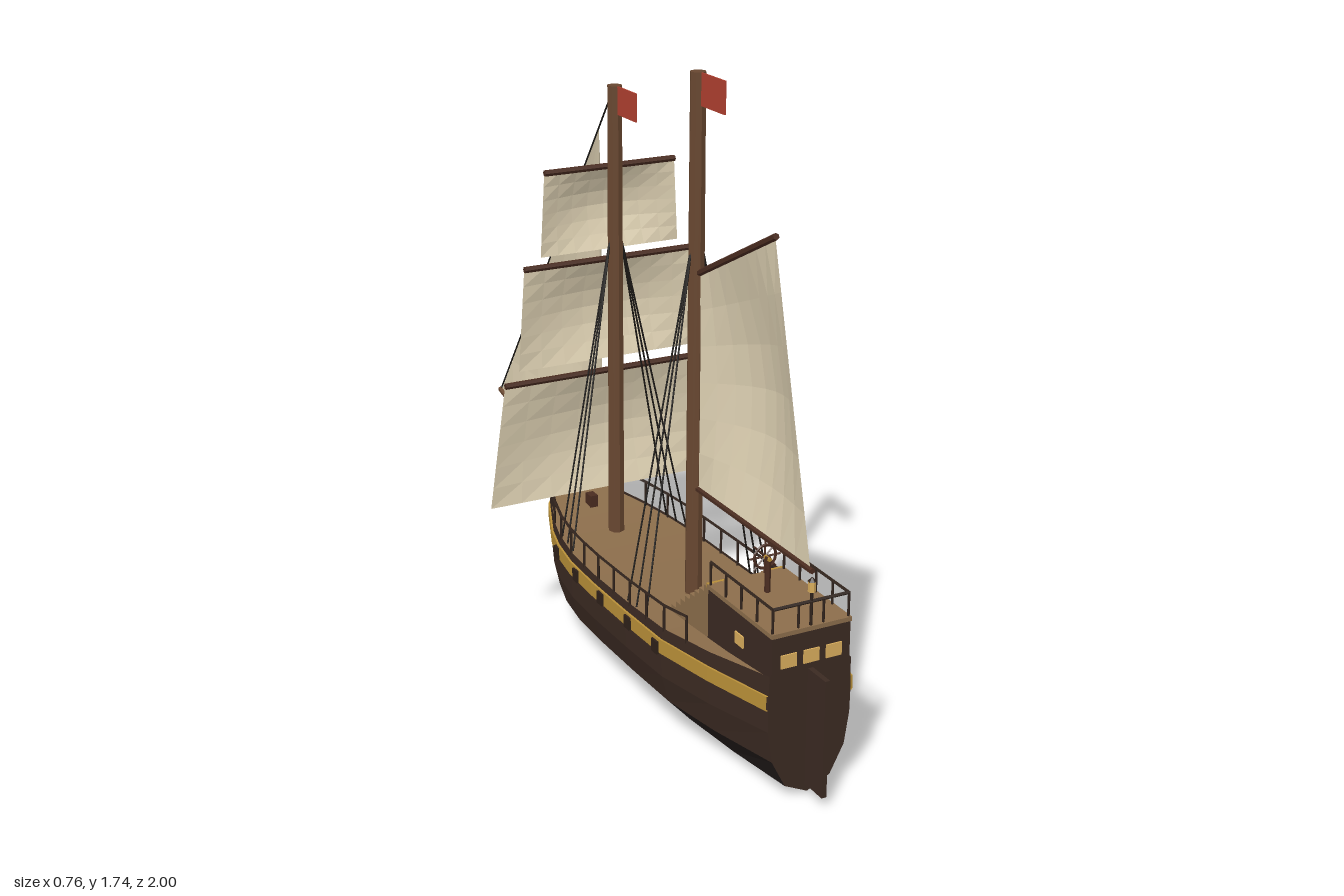
import * as THREE from 'three';

const V = (x, y, z) => new THREE.Vector3(x, y, z);
const mat = (color) => new THREE.MeshStandardMaterial({ color, flatShading: true, side: THREE.DoubleSide });
const M = {
  hull: mat(0x3b2a22), keel: mat(0x231c1b), deck: mat(0x8b6d4b), mast: mat(0x684730), spar: mat(0x4a2c20),
  gold: mat(0xb88f38), window: mat(0xd9ad5c), sail: mat(0xddd0b2), flag: mat(0xb04030), rope: mat(0x191613), rail: mat(0x2e211a),
};

// Hull stations, stern to bow: z, half width, keel height, sheer height
const STATIONS = [
  [0.92, 0.12, 0.005, 0.355], [0.7, 0.165, 0, 0.332], [0.5, 0.197, 0, 0.318], [0.3, 0.2, 0, 0.309], [0.1, 0.2, 0, 0.305],
  [-0.05, 0.195, 0, 0.306], [-0.17, 0.178, 0.003, 0.311], [-0.26, 0.155, 0.02, 0.318], [-0.435, 0.085, 0.053, 0.34], [-0.53, 0.002, 0.07, 0.355],
];
// Half section: fraction of width, fraction of height
const SECTION = [[0, 0], [0.55, 0.09], [0.88, 0.31], [0.99, 0.56], [1, 0.75], [0.98, 1]];

function hullAt(z) {
  let i = 0;
  while (i < STATIONS.length - 2 && z < STATIONS[i + 1][0]) i++;
  const a = STATIONS[i], b = STATIONS[i + 1], t = (z - a[0]) / (b[0] - a[0]);
  return { w: a[1] + (b[1] - a[1]) * t, top: a[3] + (b[3] - a[3]) * t };
}

// Surface through rows of points
function loft(rows) {
  const pos = [], idx = [], n = rows[0].length;
  rows.forEach((r) => r.forEach((p) => pos.push(p.x, p.y, p.z)));
  for (let i = 0; i < rows.length - 1; i++) {
    for (let j = 0; j < n - 1; j++) {
      const a = i * n + j, b = a + n;
      idx.push(a, b, a + 1, a + 1, b, b + 1);
    }
  }
  const g = new THREE.BufferGeometry();
  g.setAttribute('position', new THREE.Float32BufferAttribute(pos, 3));
  g.setIndex(idx);
  g.computeVertexNormals();
  return g;
}

export function createModel() {
  const ship = new THREE.Group();
  ship.name = 'sailingShip';
  const add = (name, geo, material) => {
    const m = new THREE.Mesh(geo, material);
    m.name = name;
    ship.add(m);
    return m;
  };
  const box = (name, w, h, d, x, y, z, material) => {
    const m = add(name, new THREE.BoxGeometry(w, h, d), material);
    m.position.set(x, y, z);
    return m;
  };
  const rod = (name, a, b, r, material, sides = 6, rTop = r) => {
    const d = b.clone().sub(a);
    const m = add(name, new THREE.CylinderGeometry(rTop, r, d.length(), sides), material);
    m.position.copy(a).lerp(b, 0.5);
    m.quaternion.setFromUnitVectors(V(0, 1, 0), d.normalize());
    return m;
  };

  // Hull sides, gold stripe and gun ports
  for (const s of [1, -1]) {
    const band = (from, to) => loft(STATIONS.map(([z, w, k, t]) =>
      SECTION.slice(from, to).map(([fx, fy]) => V(s * w * fx, k + (t - k) * fy, z))));
    add('lowerHull', band(0, 3), M.keel);
    add('upperHull', band(2, 6), M.hull);
    add('hullStripe', loft(STATIONS.map(([z, w, , t]) => {
      const y = 0.262 + (t - 0.305) * 0.4;
      return [[0, -0.02], [0.006, -0.02], [0.006, 0.02], [0, 0.02]].map(([o, dy]) => V(s * (w * 0.995 + o), y + dy, z));
    })), M.gold);
    for (const z of [0.48, 0.325, 0.16, -0.005, -0.17]) {
      box('gunPort', 0.02, 0.036, 0.03, s * (hullAt(z).w + 0.001), 0.26, z, M.rail);
    }
  }
  const [zs, ws, ks, ts] = STATIONS[0];
  const half = SECTION.map(([fx, fy]) => new THREE.Vector2(ws * fx, ks + (ts - ks) * fy));
  const mirrored = half.slice(1).reverse().map((p) => new THREE.Vector2(-p.x, p.y));
  add('transom', new THREE.ShapeGeometry(new THREE.Shape([...half, ...mirrored])), M.hull).position.z = zs;
  add('deck', loft(STATIONS.map(([z, w, , t]) => [V(-w * 0.98, t - 0.008, z), V(w * 0.98, t - 0.008, z)])), M.deck);
  box('rudder', 0.014, 0.325, 0.08, 0, 0.19, 0.96, M.hull);

  // Deck railings along the sheer
  for (const s of [1, -1]) {
    const at = (z, h) => V(s * hullAt(z).w * 0.97, hullAt(z).top + h, z);
    let prev = null;
    for (let i = 0; i <= 11; i++) {
      const z = 0.6 - i * 0.0955, top = at(z, 0.066);
      rod('railPost', at(z, -0.01), top, 0.004, M.rail, 4);
      if (prev) rod('handrail', prev, top, 0.005, M.rail, 4);
      prev = top;
    }
  }

  // Stern cabin with windows and door
  box('cabin', 0.226, 0.16, 0.32, 0, 0.38, 0.76, M.hull);
  box('cabinRoof', 0.23, 0.012, 0.325, 0, 0.462, 0.76, M.deck);
  box('cabinDoor', 0.07, 0.11, 0.008, 0, 0.365, 0.598, M.rail);
  for (const x of [-0.065, 0, 0.065]) box('sternWindow', 0.045, 0.036, 0.008, x, 0.388, 0.92, M.window);
  for (const s of [1, -1]) {
    box('sideWindow', 0.008, 0.032, 0.04, s * 0.113, 0.386, 0.765, M.window);
    box('stairLanding', 0.055, 0.012, 0.012, s * 0.085, 0.462, 0.595, M.gold);
    // Stairs from the main deck to the cabin roof
    for (let i = 0; i < 8; i++) {
      const h = 0.152 * (i + 1) / 8;
      box('stairStep', 0.054, h, 0.025, s * 0.085, 0.306 + h / 2, 0.412 + i * 0.025, M.deck);
    }
    // Cabin roof railing
    const zRail = [0.605, 0.684, 0.762, 0.84, 0.915];
    for (const z of zRail) rod('roofRailPost', V(s * 0.109, 0.465, z), V(s * 0.109, 0.532, z), 0.004, M.rail, 4);
    rod('roofHandrail', V(s * 0.109, 0.532, 0.605), V(s * 0.109, 0.532, 0.915), 0.005, M.rail, 4);
  }
  rod('sternHandrail', V(-0.109, 0.532, 0.915), V(0.109, 0.532, 0.915), 0.005, M.rail, 4);
  for (const x of [-0.036, 0.036]) rod('sternRailPost', V(x, 0.465, 0.915), V(x, 0.532, 0.915), 0.004, M.rail, 4);

  // Stern lantern
  rod('lanternPole', V(0, 0.465, 0.915), V(0, 0.56, 0.915), 0.004, M.rail);
  rod('lantern', V(0, 0.558, 0.915), V(0, 0.586, 0.915), 0.01, M.window);
  rod('lanternCap', V(0, 0.586, 0.915), V(0, 0.596, 0.915), 0.012, M.rail, 6, 0.002);

  // Steering wheel
  rod('wheelStand', V(0, 0.465, 0.705), V(0, 0.565, 0.705), 0.008, M.spar);
  rod('wheelAxle', V(0, 0.56, 0.685), V(0, 0.56, 0.715), 0.006, M.gold);
  add('wheelRim', new THREE.TorusGeometry(0.032, 0.004, 5, 16), M.spar).position.set(0, 0.56, 0.69);
  for (let i = 0; i < 4; i++) {
    const a = i * Math.PI / 4, c = 0.045 * Math.cos(a), d = 0.045 * Math.sin(a);
    rod('wheelSpoke', V(-c, 0.56 - d, 0.69), V(c, 0.56 + d, 0.69), 0.003, M.spar, 4);
  }

  // Masts, flags and shrouds
  const masts = [
    { name: 'main', z: 0.315, top: 1.735, flag: [0.13, 0.085], hitch: 1.3, feet: [0.295, 0.345, 0.4] },
    { name: 'fore', z: -0.155, top: 1.615, flag: [0.12, 0.078], hitch: 1.21, feet: [-0.165, -0.115, -0.065] },
  ];
  for (const m of masts) {
    rod(m.name + 'Mast', V(0, 0.29, m.z), V(0, m.top, m.z), 0.024, M.mast, 8, 0.021);
    const [len, h] = m.flag;
    box(m.name + 'Flag', 0.004, h, len, 0, m.top - h / 2, m.z + 0.01 + len / 2, M.flag);
    for (const s of [1, -1]) {
      for (const z of m.feet) {
        const p = hullAt(z);
        rod('shroud', V(s * p.w * 0.95, p.top, z), V(s * 0.012, m.hitch, m.z), 0.0028, M.rope, 4);
      }
    }
  }

  // Bowsprit, forestay and bitt
  rod('bowsprit', V(0, 0.34, -0.42), V(0, 0.468, -0.995), 0.013, M.mast, 6, 0.009);
  rod('forestay', V(0, 1.6, -0.165), V(0, 0.47, -0.99), 0.003, M.rope, 4);
  box('bowBitt', 0.024, 0.04, 0.035, 0, 0.332, -0.32, M.spar);

  // Sail: a four-cornered patch (a, b on top, c, d below) pushed out by a belly
  const sail = (name, a, b, c, d, belly, nu = 8, nv = 6) => {
    const rows = [];
    for (let j = 0; j <= nv; j++) {
      const v = j / nv, row = [];
      for (let i = 0; i <= nu; i++) {
        const u = i / nu, k = Math.sin(Math.PI * u) * Math.sin(Math.PI * v);
        const p = a.clone().lerp(b, u).lerp(c.clone().lerp(d, u), v);
        row.push(p.addScaledVector(belly, k));
      }
      rows.push(row);
    }
    add(name, loft(rows), M.sail);
  };

  // Square sails: top height, top half width, bottom height, bottom half width
  const squares = [[0.79, 0.33, 0.428, 0.38], [1.12, 0.265, 0.825, 0.285], [1.385, 0.2, 1.147, 0.213]];
  for (const [y, w, y2, w2] of squares) {
    rod('yard', V(-w, y, -0.183), V(w, y, -0.183), 0.009, M.spar);
    sail('squareSail', V(-w, y, -0.185), V(w, y, -0.185), V(-w2, y2, -0.188), V(w2, y2, -0.188), V(0, 0, -0.045));
  }

  // Aft sail with gaff and boom
  sail('aftSail', V(0, 1.21, 0.33), V(0, 1.405, 0.705), V(0, 0.615, 0.33), V(0, 0.615, 0.905), V(0.065, 0, 0));
  rod('gaff', V(0, 1.205, 0.315), V(0, 1.405, 0.71), 0.009, M.spar);
  rod('boom', V(0, 0.612, 0.315), V(0, 0.612, 0.915), 0.008, M.spar);

  // Triangular headsail
  const peak = V(0, 1.48, -0.255);
  sail('headsail', peak, peak, V(0, 0.447, -0.24), V(0, 0.468, -0.985), V(0.055, -0.01, 0), 8, 8);
  // Slack lower edge of the headsail
  add('headsailFoot', loft([[V(0, 0.447, -0.24), V(0, 0.458, -0.62), V(0, 0.463, -0.8), V(0, 0.468, -0.985)],
    [V(0, 0.447, -0.24), V(0, 0.433, -0.62), V(0, 0.43, -0.8), V(0, 0.468, -0.985)]]), M.sail);

  return ship;
}
